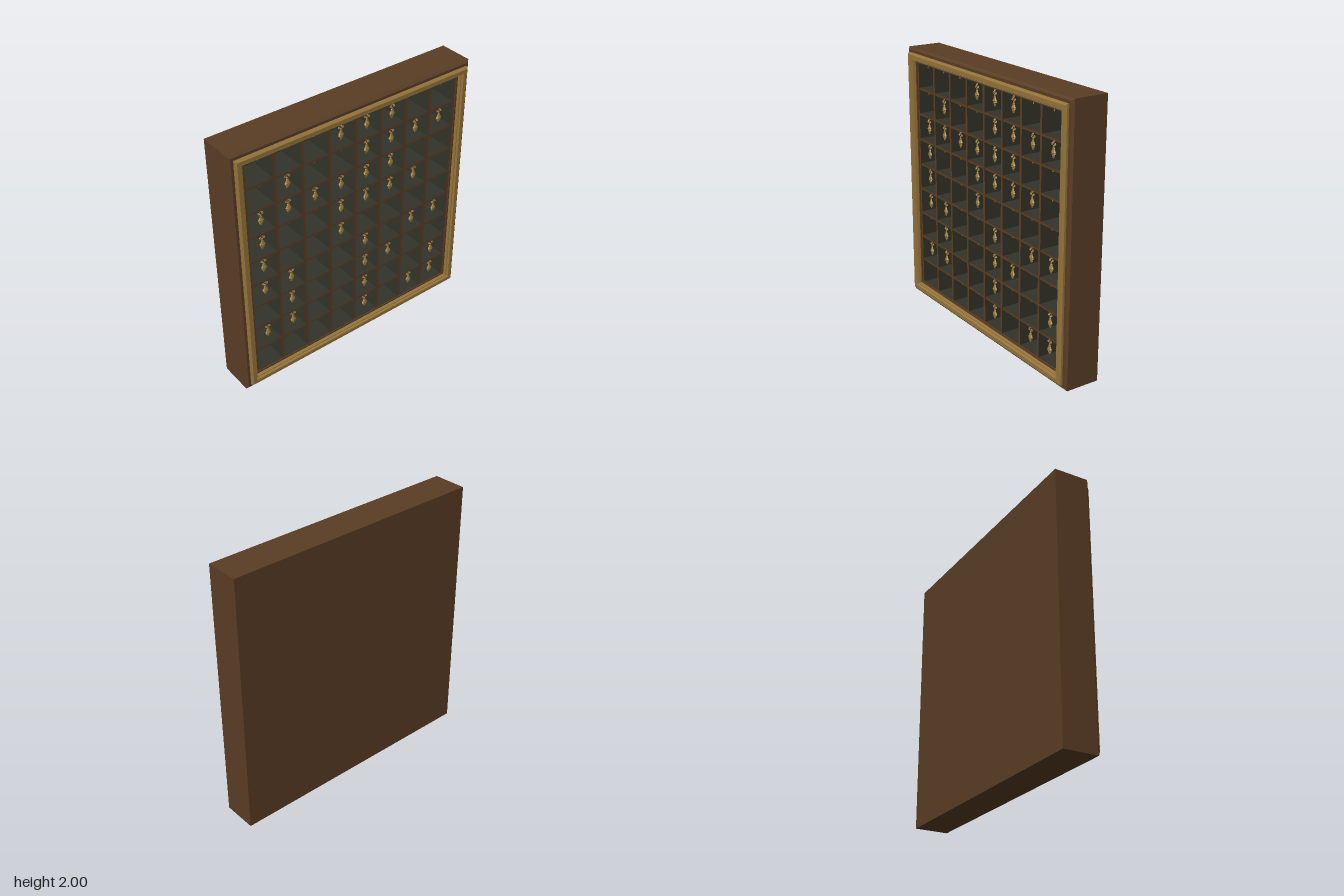
import * as THREE from 'three';
import { mergeGeometries } from 'three/addons/utils/BufferGeometryUtils.js';

const material = (name, color) => {
  const m = new THREE.MeshStandardMaterial({ color });
  m.name = name;
  return m;
};

// Square ring swept from a profile of [half width, z] points, with flat faces
function squareSweep(points) {
  const profile = points.map(([r, z]) => new THREE.Vector2(r * Math.SQRT2, z));
  const geo = new THREE.LatheGeometry(profile, 4, Math.PI / 4).toNonIndexed();
  geo.rotateX(Math.PI / 2);
  geo.computeVertexNormals();
  return geo;
}

export function createModel() {
  const cabinet = new THREE.Group();
  cabinet.name = 'keyCabinet';
  const wood = material('brown wood', 0x5a3d25);
  const shelfWood = material('shelf wood', 0x5e3c22);
  const gilt = material('gilt trim', 0x95743a);
  const lining = material('dark green lining', 0x323329);
  const brass = material('key brass', 0x9c7a38);

  const add = (name, geo, mat, x = 0, y = 1, z = 0) => {
    const mesh = new THREE.Mesh(geo, mat);
    mesh.name = name;
    mesh.position.set(x, y, z);
    cabinet.add(mesh);
    return mesh;
  };

  // Case: closed back, sides and chamfered front edge
  add('case', squareSweep([
    [0, -0.15], [1, -0.15], [1, 0.108], [0.985, 0.123], [0.96, 0.123],
  ]), wood);

  // Raised gilt moulding with a smaller inner step
  add('giltMoulding', squareSweep([
    [0.965, 0.12], [0.965, 0.138], [0.955, 0.15], [0.925, 0.15], [0.918, 0.135],
    [0.912, 0.135], [0.908, 0.112],
  ]), gilt);
  add('innerFrame', squareSweep([[0.91, 0.112], [0.896, 0.112], [0.896, -0.13]]), wood);

  // Lining and compartments
  add('liningBack', new THREE.BoxGeometry(1.8, 1.8, 0.008), lining, 0, 1, -0.124);
  const cols = 8, rows = 9, px = 0.22, py = 0.199;
  const front = 0.104, depth = 0.226, midZ = front - depth / 2;
  const faces = [lining, lining, lining, lining, shelfWood, lining];
  for (let i = 0; i <= cols; i++) {
    const end = i === 0 || i === cols;
    const x = (i - cols / 2) * px + (end ? Math.sign(i - 1) * 0.01 : 0);
    add('upright', new THREE.BoxGeometry(0.021, 1.79, depth), faces, x, 1, midZ);
  }
  for (let j = 0; j <= rows; j++) {
    add('shelf', new THREE.BoxGeometry(1.77, j % rows ? 0.016 : 0.008, depth - 0.002), faces,
      0, 1 + (j - rows / 2) * py, midZ);
  }

  // Key: trefoil handle, collar and serrated tapering body
  const lobes = [[0, 0.052], [-0.014, 0.034], [0.014, 0.034]].map(([x, y]) =>
    new THREE.TorusGeometry(0.0075, 0.0035, 4, 6).translate(x, y, 0));
  const body = new THREE.LatheGeometry([
    [0, -0.062], [0.007, -0.058], [0.011, -0.048], [0.015, -0.044], [0.014, -0.038],
    [0.021, -0.032], [0.018, -0.026], [0.024, -0.021], [0.018, -0.012], [0.016, -0.008],
    [0.01, 0.002], [0.012, 0.006], [0.007, 0.012], [0.008, 0.024], [0, 0.028],
  ].map(([r, y]) => new THREE.Vector2(r, y)), 8);
  body.scale(1, 1, 0.5);
  const keyGeo = mergeGeometries([...lobes, body]).toNonIndexed();
  keyGeo.computeVertexNormals();

  // Small hook in every compartment
  const hookGeo = mergeGeometries([
    new THREE.CylinderGeometry(0.003, 0.003, 0.016, 5),
    new THREE.TorusGeometry(0.005, 0.002, 4, 6).translate(0, -0.008, 0),
  ]);

  // Occupied columns in each row, top to bottom
  const occupied = ['345', '14567', '012345', '03456', '03', '01467', '145', '0147', '467'];
  occupied[5] = '01' + '467';
  occupied.forEach((row, r) => {
    for (let c = 0; c < cols; c++) {
      const x = (c - (cols - 1) / 2) * px;
      const y = 1 + ((rows - 1) / 2 - r) * py;
      add('hook', hookGeo, brass, x, y + 0.087, 0.085);
      if (row.includes(String(c))) add('key', keyGeo, brass, x, y + 0.026, 0.085);
    }
  });
  return cabinet;
}
